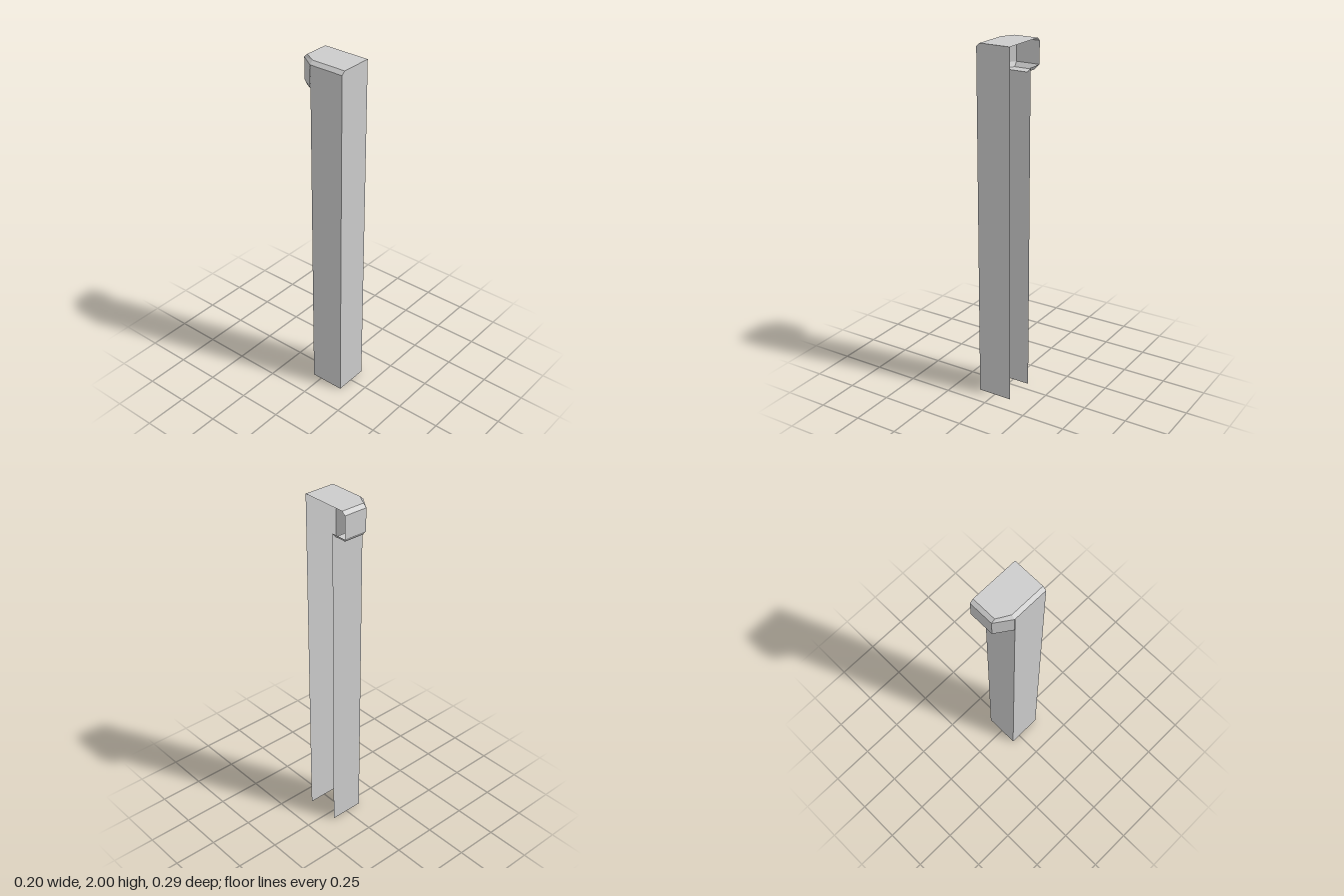
import * as THREE from 'three';

const material = new THREE.MeshStandardMaterial({ color: 0xcccccc, flatShading: true, side: THREE.DoubleSide });

function addPart(group, name, positions) {
  const geometry = new THREE.BufferGeometry();
  geometry.setAttribute('position', new THREE.Float32BufferAttribute(positions.flat(), 3));
  geometry.computeVertexNormals();
  const mesh = new THREE.Mesh(geometry, material);
  mesh.name = name;
  group.add(mesh);
}

// Quads joining two open outlines, lower to upper
function strip(lower, upper) {
  const out = [];
  for (let i = 0; i < lower.length - 1; i++) {
    out.push(lower[i], lower[i + 1], upper[i + 1], lower[i], upper[i + 1], upper[i]);
  }
  return out;
}

// Flat polygon; place() maps its 2D points into space
function panel(points, place) {
  const contour = points.map(([a, b]) => new THREE.Vector2(a, b));
  return THREE.ShapeUtils.triangulateShape(contour, []).flatMap(t => t.map(i => place(...points[i])));
}

// Lift plan points [x, z] to height y
const at = (points, y) => points.map(([x, z]) => [x, y, z]);

export function createModel() {
  const group = new THREE.Group();
  group.name = 'post';

  const front = 0.145, back = -0.055, top = 2, rim = 1.982;
  const hoodLow = 1.857, hoodBase = 1.832;

  // Plan of the hood: right end, back, slanted corner
  const hood = [[0.1, -0.145], [-0.04, -0.145], [-0.1, -0.058]];
  const hoodInset = [[0.1, -0.125], [-0.04, -0.125], [-0.08, -0.056]];

  // Shaft: front, side and back walls, open on the +x side and below
  addPart(group, 'frontWall', panel(
    [[-0.1, 0], [0.1, 0], [0.1, top], [-0.08, top], [-0.1, rim]], (x, y) => [x, y, front]));
  addPart(group, 'sideWall', panel(
    [[front, 0], [back, 0], [back, rim], [front, rim]], (z, y) => [-0.1, y, z]));
  addPart(group, 'backWall', panel(
    [[0.1, 0], [-0.1, 0], [-0.1, hoodLow], [-0.08, hoodBase], [0.08, hoodBase], [0.1, hoodLow]],
    (x, y) => [x, y, back]));

  // Roof with a bevel along the side, slanted corner and back
  const roof = [...hoodInset, [-0.08, front]];
  addPart(group, 'roof', panel([...roof, [0.1, front]], (x, z) => [x, top, z]));
  addPart(group, 'roofBevel', strip(at([...hood, [-0.1, front]], rim), at(roof, top)));

  // Overhanging hood, open towards the shaft and the +x side
  addPart(group, 'hoodWall', strip(at(hood, hoodLow), at(hood, rim)));
  const lip = [[0.1, back], ...hood.slice(0, 2), [-0.1, back]];
  const base = [[0.08, back], [0.08, -0.125], [-0.04, -0.125], [-0.08, back]];
  addPart(group, 'hoodLowerBevel', strip(at(base, hoodBase), at(lip, hoodLow)));
  addPart(group, 'hoodBase', panel(base, (x, z) => [x, hoodBase, z]));

  return group;
}
